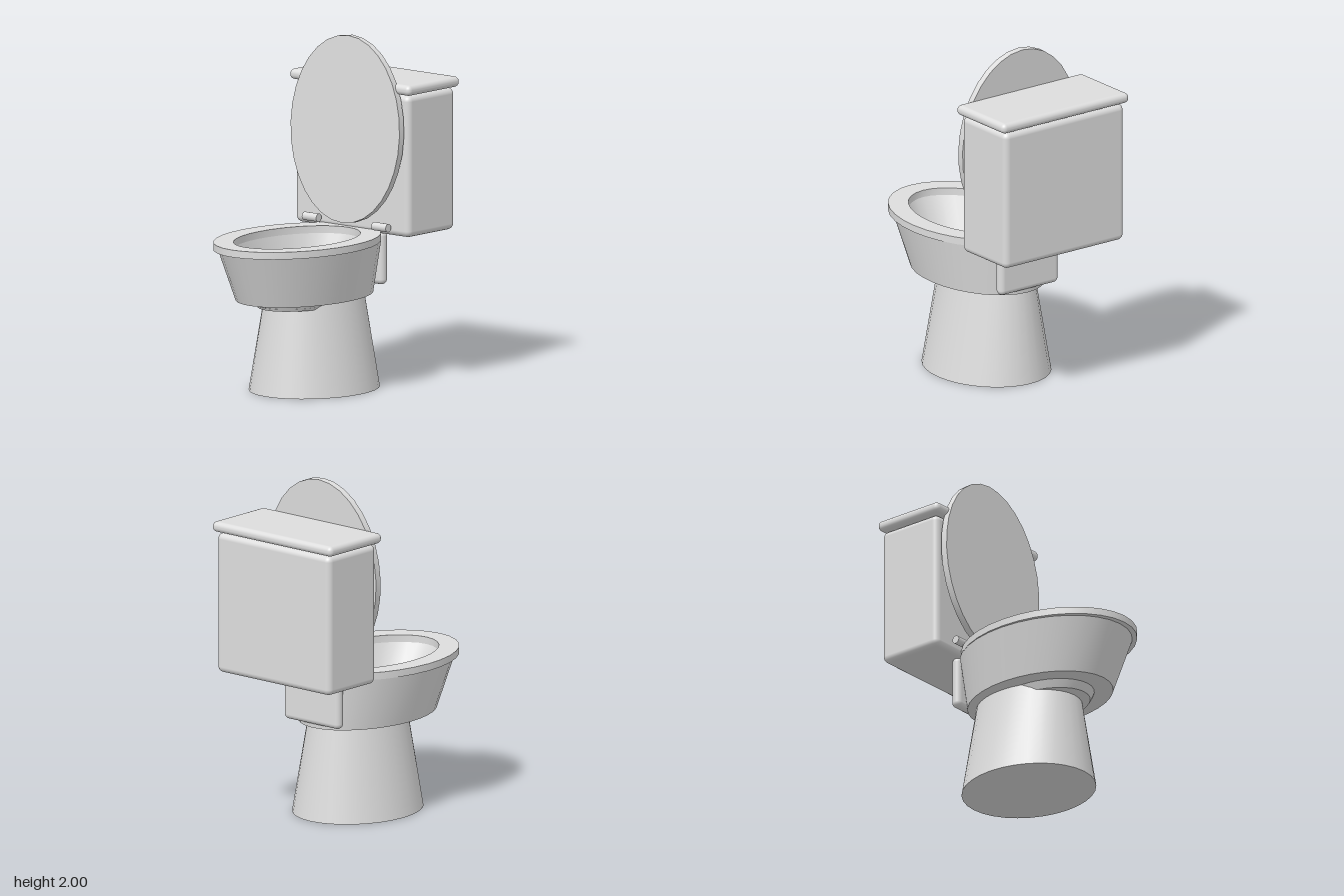
import * as THREE from 'three';
import { RoundedBoxGeometry } from 'three/addons/geometries/RoundedBoxGeometry.js';

const SEGMENTS = 32;

// Elliptical loft through rings [y, centreZ, radiusX, radiusZ]; edges between bands stay sharp.
function loft(rings) {
  const positions = [], index = [];
  for (let r = 0; r < rings.length - 1; r++) {
    const base = positions.length / 3;
    for (const [y, cz, rx, rz] of [rings[r], rings[r + 1]]) {
      for (let i = 0; i < SEGMENTS; i++) {
        const a = (i / SEGMENTS) * Math.PI * 2;
        positions.push(rx * Math.cos(a), y, cz + rz * Math.sin(a));
      }
    }
    for (let i = 0; i < SEGMENTS; i++) {
      const j = (i + 1) % SEGMENTS;
      const a = base + i, b = base + j, c = a + SEGMENTS, d = b + SEGMENTS;
      if (rings[r][2] > 0) index.push(a, c, b);
      if (rings[r + 1][2] > 0) index.push(b, c, d);
      // Fans that start or end at a centre point
      if (rings[r][2] === 0) index.push(a, c, d);
    }
  }
  const geometry = new THREE.BufferGeometry();
  geometry.setAttribute('position', new THREE.Float32BufferAttribute(positions, 3));
  geometry.setIndex(index);
  geometry.computeVertexNormals();
  return geometry;
}

export function createModel() {
  const model = new THREE.Group();
  model.name = 'toilet';
  const porcelain = new THREE.MeshStandardMaterial({ color: 0xdddddd });
  porcelain.name = 'porcelain';

  function add(name, geometry, x = 0, y = 0, z = 0) {
    const mesh = new THREE.Mesh(geometry, porcelain);
    mesh.name = name;
    mesh.position.set(x, y, z);
    model.add(mesh);
    return mesh;
  }

  // Tapered foot
  add('pedestal', loft([
    [0, 0.02, 0, 0], [0, 0.02, 0.345, 0.41],
    [0.545, 0.02, 0.245, 0.333], [0.545, 0.02, 0, 0],
  ]));

  // Bowl: sump underneath, flared outer wall, rim, inner wall, floor
  add('bowl', loft([
    [0.5, 0.14, 0, 0], [0.5, 0.14, 0.205, 0.29], [0.546, 0.14, 0.225, 0.315],
    [0.546, 0.105, 0.325, 0.47], [0.855, 0.15, 0.397, 0.55],
    [0.855, 0.17, 0.295, 0.445], [0.515, 0.14, 0.213, 0.303], [0.515, 0.14, 0, 0],
  ]));

  // Flat ring seat
  add('seat', loft([
    [0.848, 0.17, 0.29, 0.442], [0.848, 0.17, 0.408, 0.56], [0.89, 0.17, 0.408, 0.56],
    [0.89, 0.17, 0.29, 0.442], [0.848, 0.17, 0.29, 0.442],
  ]));

  // Raised lid leaning against the tank
  const lid = add('lid', loft([
    [-0.02, 0, 0, 0], [-0.02, 0, 0.41, 0.54], [0.02, 0, 0.41, 0.54], [0.02, 0, 0, 0],
  ]), 0, 1.46, -0.268);
  lid.rotation.x = Math.PI / 2 - 0.05;

  // Hinges
  for (const side of [-1, 1]) {
    const hinge = add(side > 0 ? 'leftHinge' : 'rightHinge',
      new THREE.CylinderGeometry(0.024, 0.024, 0.108, 16), side * 0.262, 0.922, -0.26);
    hinge.rotation.z = Math.PI / 2;
  }

  // Tank, its cover, the connector below and the flush button
  add('tank', new RoundedBoxGeometry(0.86, 0.82, 0.41, 4, 0.035), 0, 1.28, -0.51);
  add('tankCover', new RoundedBoxGeometry(0.91, 0.06, 0.45, 4, 0.028), 0, 1.725, -0.505);
  add('tankConnector', new RoundedBoxGeometry(0.42, 0.31, 0.062, 4, 0.03), 0, 0.725, -0.358);
  const button = add('flushButton', new THREE.CylinderGeometry(0.04, 0.04, 0.03, 20), -0.28, 1.56, -0.302);
  button.rotation.x = Math.PI / 2;

  return model;
}
